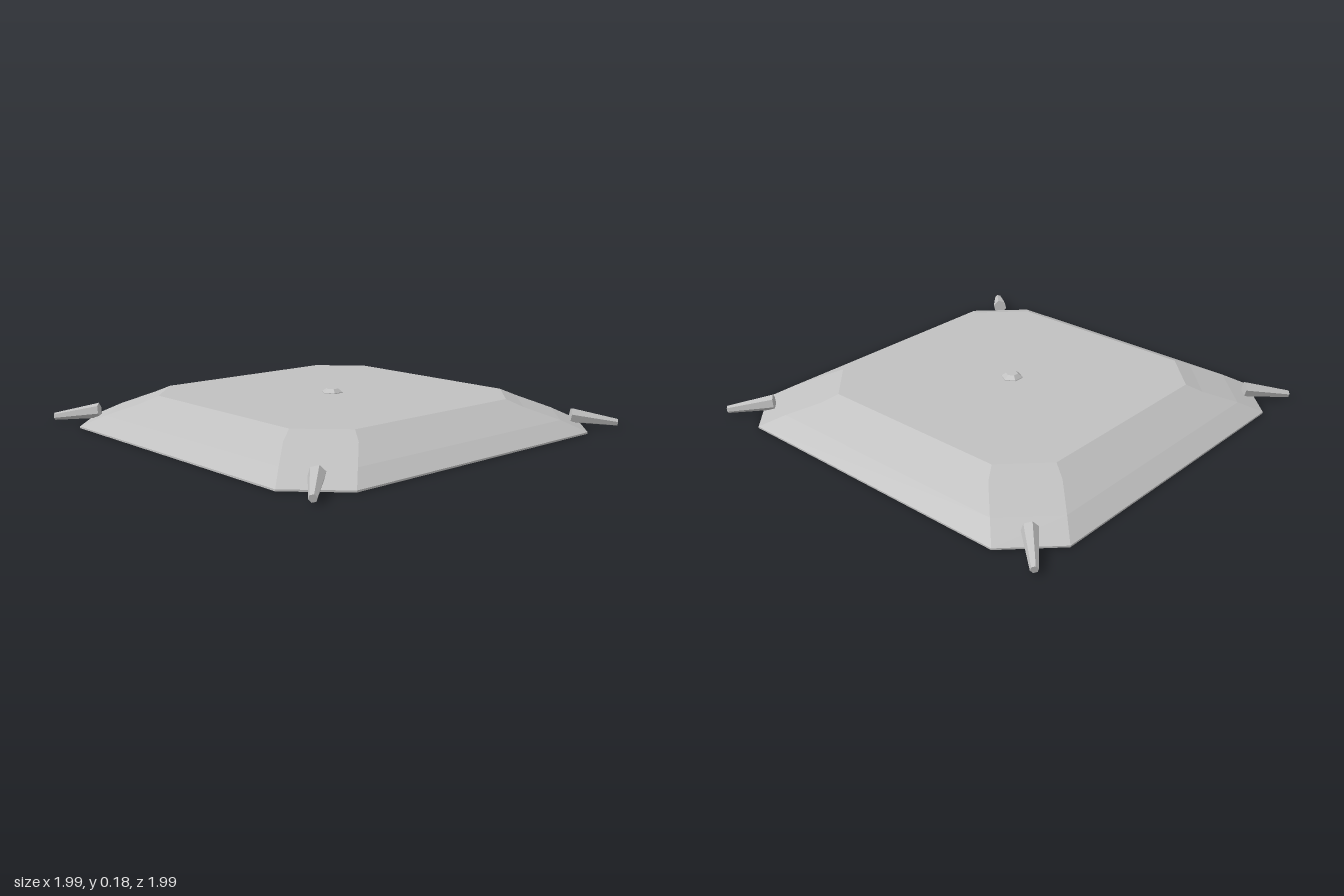
import * as THREE from 'three';

const grey = new THREE.MeshStandardMaterial({ color: 0xc0c0c0, flatShading: true });
grey.name = 'plain grey';

// Chamfered square, counterclockwise from above: a = half width, b = half length of the straight edge
function ring(a, b, y) {
  return [[a, b], [a, -b], [b, -a], [-b, -a], [-a, -b], [-a, b], [-b, a], [b, a]]
    .map(([x, z]) => [x, y, z]);
}

// Closed solid skinned over rings from bottom to top
function skin(rings) {
  const pos = [];
  const tri = (...p) => p.forEach((v) => pos.push(...v));
  const n = rings[0].length;
  const first = rings[0], last = rings[rings.length - 1];
  for (let i = 0; i < n; i++) {
    const j = (i + 1) % n;
    for (let k = 0; k < rings.length - 1; k++) {
      const lo = rings[k], up = rings[k + 1];
      tri(lo[i], lo[j], up[j]);
      tri(lo[i], up[j], up[i]);
    }
    tri([0, first[0][1], 0], first[j], first[i]);
    tri([0, last[0][1], 0], last[i], last[j]);
  }
  const g = new THREE.BufferGeometry();
  g.setAttribute('position', new THREE.Float32BufferAttribute(pos, 3));
  g.computeVertexNormals();
  return g;
}

function add(parent, name, geometry) {
  const mesh = new THREE.Mesh(geometry, grey);
  mesh.name = name;
  parent.add(mesh);
  return mesh;
}

export function createModel() {
  const model = new THREE.Group();
  model.name = 'bevelledPad';

  // Low octagonal pad with sloping sides
  add(model, 'padBody', skin([
    ring(0.973, 0.752, 0),
    ring(0.973, 0.752, 0.008),
    ring(0.88, 0.66, 0.065),
    ring(0.755, 0.537, 0.126),
    ring(0.685, 0.492, 0.16),
  ]));

  // Six-sided stud in the middle of the top
  const stud = add(model, 'centreStud', new THREE.CylinderGeometry(0.03, 0.053, 0.017, 6));
  stud.position.y = 0.1715;
  stud.rotation.y = Math.PI / 6;
  const collar = add(model, 'studCollar', new THREE.CylinderGeometry(0.053, 0.053, 0.008, 6));
  collar.position.y = 0.159;
  collar.rotation.y = Math.PI / 6;

  // Tapered pegs pointing outward and slightly down at the four corners
  const up = new THREE.Vector3(0, 1, 0);
  for (const sx of [1, -1]) {
    for (const sz of [1, -1]) {
      const root = new THREE.Vector3(sx * 0.822, 0.057, sz * 0.822);
      const tip = new THREE.Vector3(sx * 0.983, 0.024, sz * 0.983);
      const dir = tip.clone().sub(root);
      const peg = add(model, (sz > 0 ? 'front' : 'back') + (sx > 0 ? 'Left' : 'Right') + 'Peg',
        new THREE.CylinderGeometry(0.018, 0.038, dir.length(), 6));
      peg.position.copy(root).add(tip).multiplyScalar(0.5);
      peg.quaternion.setFromUnitVectors(up, dir.normalize());
    }
  }
  return model;
}
